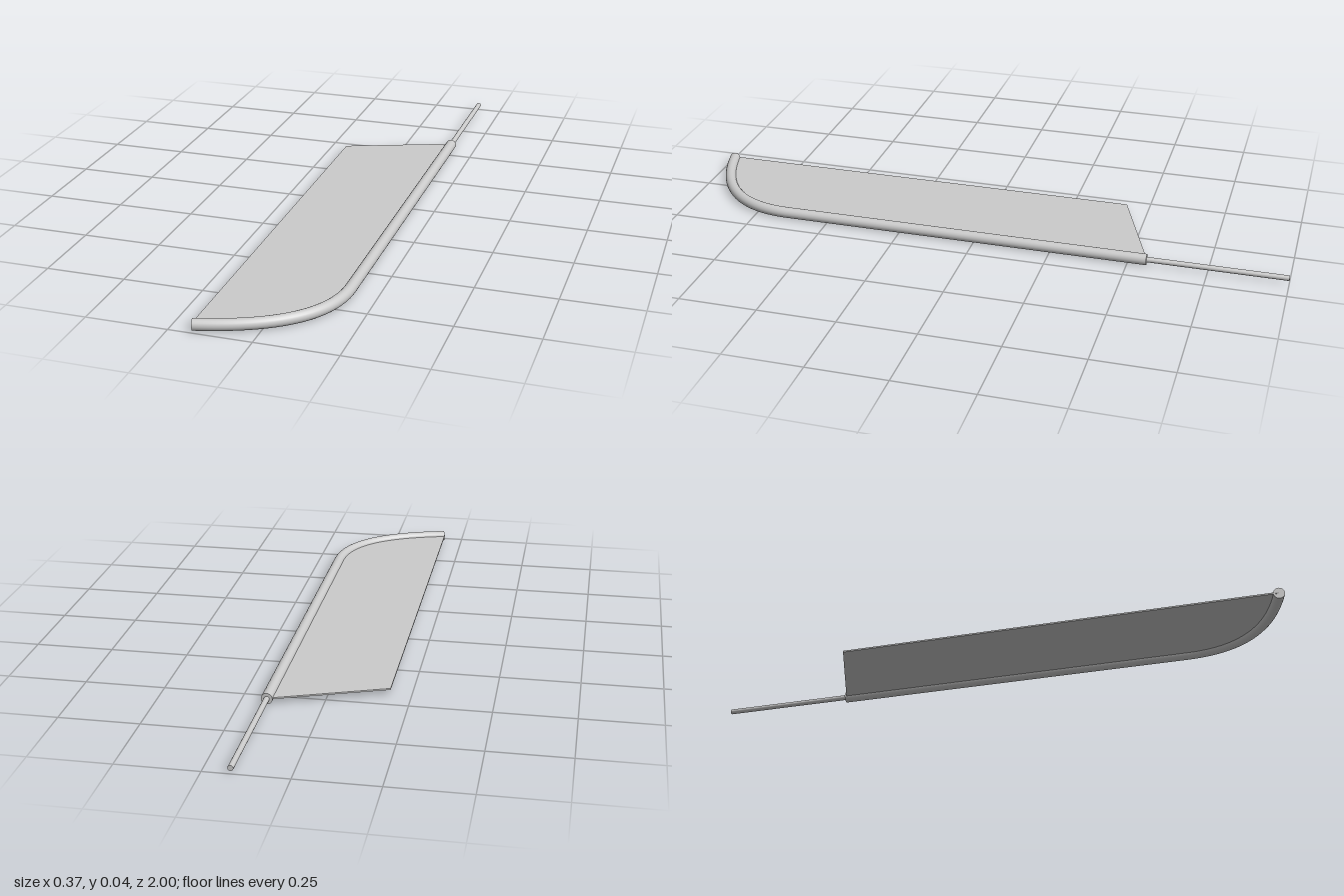
import * as THREE from 'three';

const R = 0.0178;      // frame tube radius, also the height of its axis
const X = 0.1675;      // x of the straight frame run
const BACK = -0.56;    // rear end of the frame tube
const BEND = 0.64;     // where the frame starts to curve
const TIP = [-0.183, 0.982];
const CONTROL = [X, 0.9];

export function createModel() {
  const group = new THREE.Group();
  const material = new THREE.MeshStandardMaterial({ color: 0xcccccc, side: THREE.DoubleSide });
  const add = (name, geometry) => {
    const mesh = new THREE.Mesh(geometry, material);
    mesh.name = name;
    group.add(mesh);
    return mesh;
  };
  const at = (x, z) => new THREE.Vector3(x, R, z);

  // Frame: straight run, then a bend sweeping round to the tip
  const bend = new THREE.QuadraticBezierCurve3(at(X, BEND), at(...CONTROL), at(...TIP));
  const straight = add('frameStraight', new THREE.CylinderGeometry(R, R, BEND - BACK, 20));
  straight.rotation.x = Math.PI / 2;
  straight.position.set(X, R, (BEND + BACK) / 2);
  add('frameBend', new THREE.TubeGeometry(bend, 24, R, 20));

  // Flat cap closing the tip of the bend
  const cap = add('frameTipCap', new THREE.CircleGeometry(R, 20));
  cap.position.copy(at(...TIP));
  cap.lookAt(at(...TIP).add(bend.getTangent(1)));

  // Thin rod extending from the rear of the frame
  const rod = add('rod', new THREE.CylinderGeometry(0.0085, 0.0085, 0.48, 16));
  rod.rotation.x = Math.PI / 2;
  rod.position.set(X, R, -0.76);

  // Thin panel filling the frame, drawn in x and z and laid flat
  const outline = new THREE.Shape();
  outline.moveTo(-0.186, -0.43);
  outline.lineTo(X, BACK);
  outline.lineTo(X, BEND);
  outline.quadraticCurveTo(...CONTROL, -0.186, TIP[1]);
  outline.closePath();
  const thickness = 0.005;
  const panel = add('panel', new THREE.ExtrudeGeometry(outline, {
    depth: thickness, bevelEnabled: false, curveSegments: 24,
  }));
  panel.rotation.x = Math.PI / 2;
  panel.position.y = R + thickness / 2;

  return group;
}
